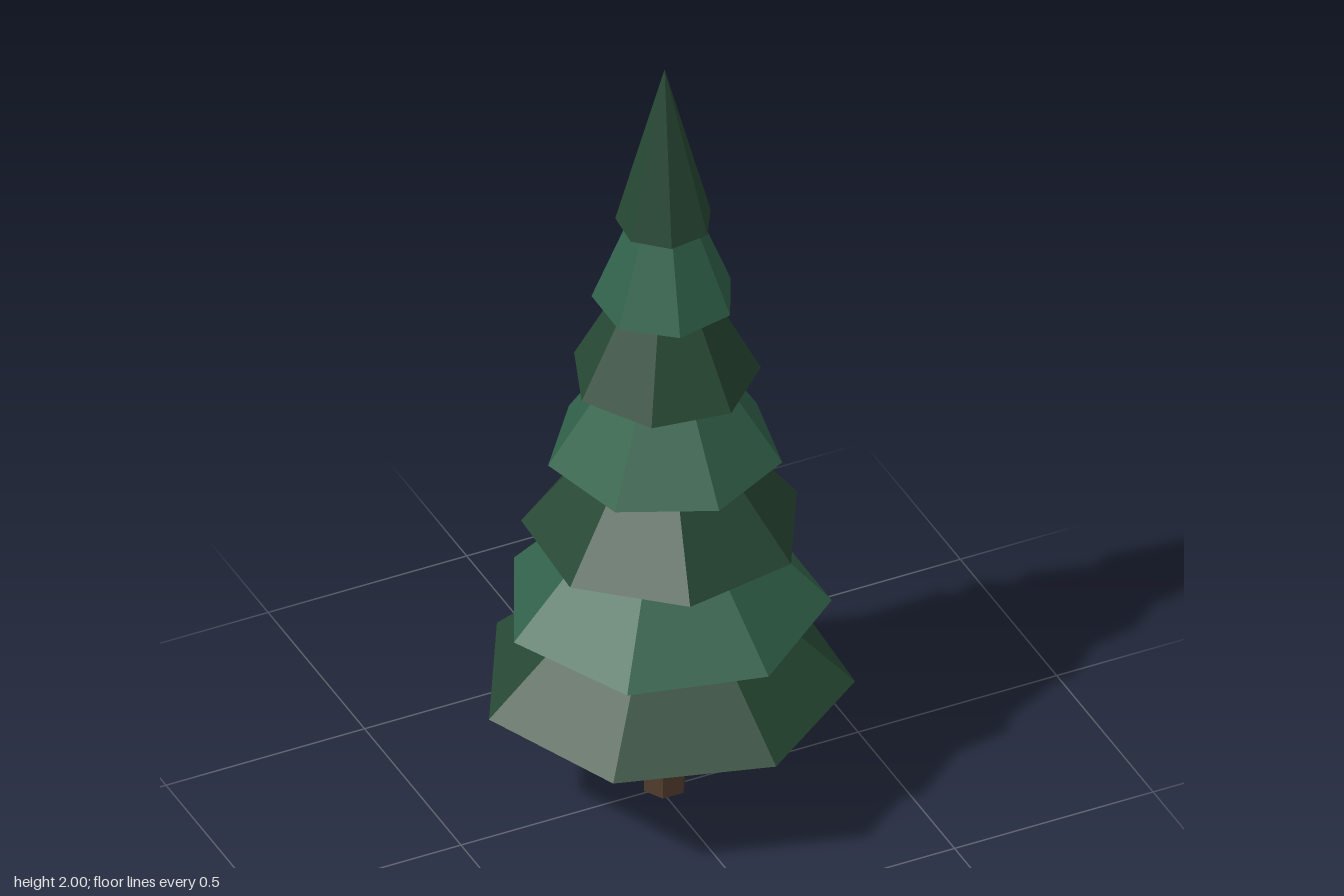
import * as THREE from 'three';

function flatMaterial(name, color) {
  const material = new THREE.MeshStandardMaterial({ color, flatShading: true });
  material.name = name;
  return material;
}

export function createModel() {
  const darkGreen = flatMaterial('dark green', 0x274834);
  const lightGreen = flatMaterial('light green', 0x32634b);
  const bark = flatMaterial('bark brown', 0x503b2b);

  const tree = new THREE.Group();
  tree.name = 'pineTree';

  // Shared trunk axis, slightly off centre because the lowest tier is asymmetric
  const axisX = 0.016, axisZ = -0.007;

  // Tapered six-sided trunk, its top hidden inside the lowest tier
  const trunkHeight = 0.4;
  const trunk = new THREE.Mesh(new THREE.CylinderGeometry(0.041, 0.052, trunkHeight, 6), bark);
  trunk.name = 'trunk';
  trunk.rotation.y = Math.PI / 6;
  trunk.position.set(axisX, trunkHeight / 2, axisZ);
  tree.add(trunk);

  // Seven overlapping seven-sided cones, each twisted and in alternating greens
  const twists = [0.173, 0.22, 0.625, 0.02, 0.31, 0.66, 0.59];
  const tierHeight = 0.422;
  twists.forEach((twist, i) => {
    const radius = 0.432 - i * 0.0533;
    const baseY = 0.305 + i * 0.2122;
    const tier = new THREE.Mesh(
      new THREE.ConeGeometry(radius, tierHeight, 7),
      i % 2 ? lightGreen : darkGreen
    );
    tier.name = `foliageTier${i + 1}`;
    tier.rotation.y = twist;
    tier.position.set(axisX, baseY + tierHeight / 2, axisZ);
    tree.add(tier);
  });

  return tree;
}
